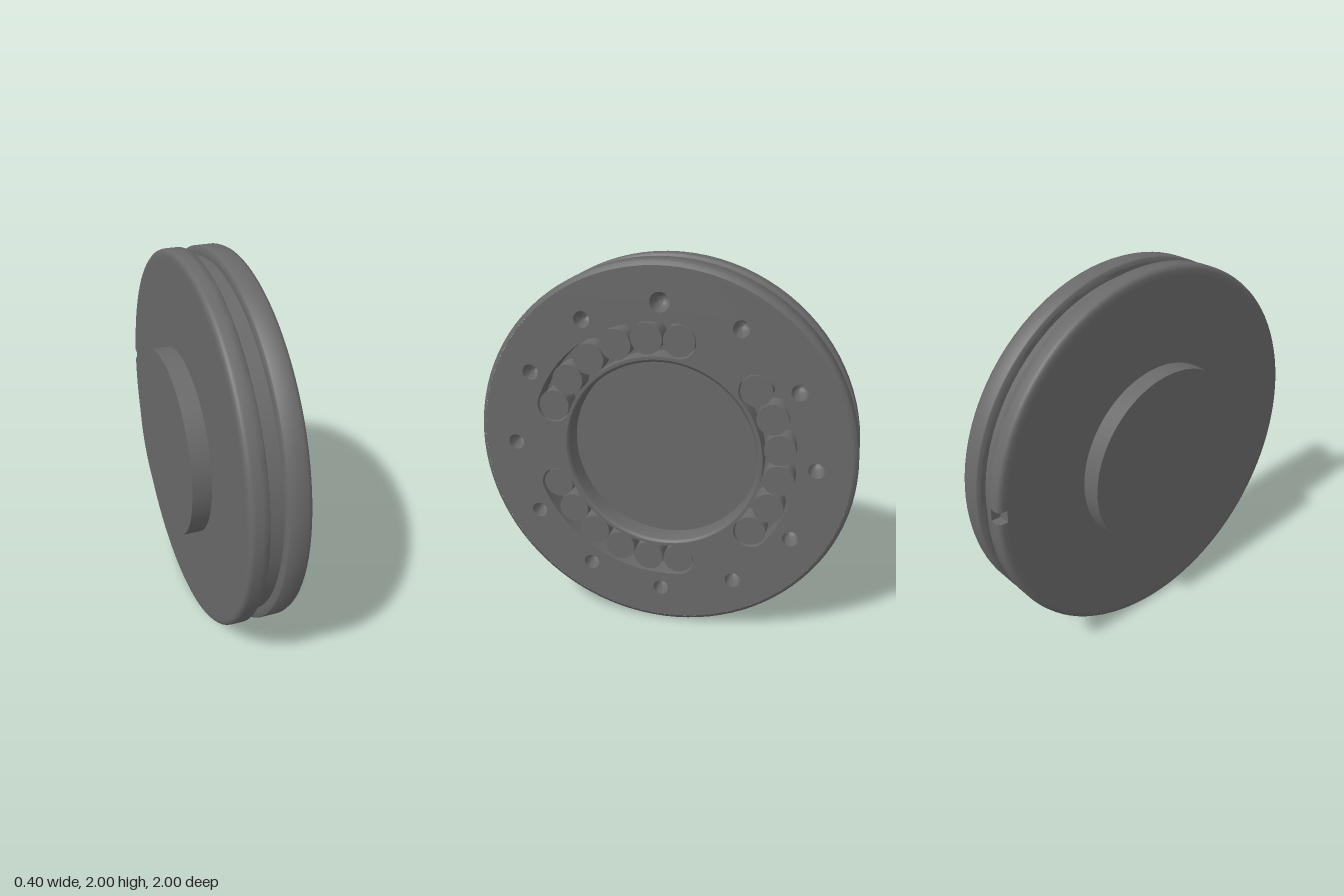
import * as THREE from 'three';
import { toCreasedNormals } from 'three/addons/utils/BufferGeometryUtils.js';

const SEG = 96;
const STEP = Math.PI * 2 / SEG;
const FLOOR = 0.08;   // axial position of the pocket floors
const FACE = 0.2;     // axial position of the drilled face

export function createModel() {
  const root = new THREE.Group();
  const flange = new THREE.Group();
  flange.name = 'flange';
  flange.position.y = 1;
  root.add(flange);

  const color = 0x696969;
  const material = new THREE.MeshStandardMaterial({ color });
  const openMaterial = new THREE.MeshStandardMaterial({ color, side: THREE.DoubleSide });
  const add = (name, geometry, mat = material) => {
    const mesh = new THREE.Mesh(geometry, mat);
    mesh.name = name;
    flange.add(mesh);
    return mesh;
  };
  const vectors = (list) => list.map(([r, a]) => new THREE.Vector2(r, a));
  // Turned part about the x axis; profile points are [radius, x]
  const turned = (profile, segments = SEG, start = 0, length = Math.PI * 2) => toCreasedNormals(
    new THREE.LatheGeometry(vectors(profile), segments, start, length).rotateZ(-Math.PI / 2), 0.85);

  // Boss, back face, groove and front rim
  const notchMid = Math.PI + 0.055;
  const rimStart = notchMid + STEP / 2;
  add('body', turned([
    [0, -0.2], [0.5, -0.2], [0.5, -0.1], [0.95, -0.1], [0.95, -0.04], [1, -0.04],
    [1, -0.01], [0.995, -0.005], [0.95, -0.005], [0.95, FLOOR],
    [0.995, FLOOR], [1, 0.085], [1, 0.175], [0.993, 0.192], [0.975, FACE],
  ], SEG, rimStart));

  // Rounded back edge, interrupted by a small notch
  const rim = [
    [0.95, -0.1], [0.975, -0.1], [0.988, -0.096], [0.997, -0.087], [1, -0.075],
    [1, -0.04], [0.95, -0.04],
  ];
  add('backRim', turned(rim, SEG - 1, rimStart, Math.PI * 2 - STEP));
  for (const side of [-1, 1]) {
    const cap = new THREE.ShapeGeometry(new THREE.Shape(vectors(rim)));
    cap.rotateY(notchMid - Math.PI / 2 + side * STEP / 2).rotateZ(-Math.PI / 2);
    add('notchWall', cap, openMaterial);
  }

  // Drilled face plate
  const plate = new THREE.Shape().absarc(0, 0, 0.975, 0, Math.PI * 2, false);
  const hole = (x, y, r) => plate.holes.push(new THREE.Path().absarc(x, y, r, 0, Math.PI * 2, true));
  hole(0, 0, 0.515);

  // Bolt holes with dished bottoms
  for (let i = 0; i < 12; i++) {
    const a = i * Math.PI / 6, r = i === 3 ? 0.05 : 0.042;
    const x = 0.8 * Math.cos(a), y = 0.8 * Math.sin(a);
    hole(x, y, r);
    const cup = [[r, FACE], [r * 0.93, 0.15], [r * 0.75, 0.12], [r * 0.45, 0.1], [0, 0.09]];
    add('boltHole', turned(cup, 24)).position.set(0, y, -x);
  }

  // Three curved slots
  const ring = 0.618, half = 0.088, pitch = THREE.MathUtils.degToRad(15.5), reach = 2.5 * pitch;
  const discDepth = 0.108;
  for (let k = 0; k < 3; k++) {
    const mid = k * Math.PI * 2 / 3, a0 = mid - reach, a1 = mid + reach;
    const slot = new THREE.Path();
    slot.absarc(0, 0, ring + half, a0, a1, false);
    slot.absarc(ring * Math.cos(a1), ring * Math.sin(a1), half, a1, a1 + Math.PI, false);
    slot.absarc(0, 0, ring - half, a1, a0, true);
    slot.absarc(ring * Math.cos(a0), ring * Math.sin(a0), half, a0 + Math.PI, a0 + Math.PI * 2, false);
    plate.holes.push(slot);

    // Six round pieces in each slot, set just below the face
    for (let i = 0; i < 6; i++) {
      const a = a0 + i * pitch;
      const disc = new THREE.CylinderGeometry(0.081, 0.081, discDepth, 32).rotateZ(-Math.PI / 2);
      add('slotDisc', disc).position.set(FLOOR + discDepth / 2, ring * Math.sin(a), -ring * Math.cos(a));
    }
  }
  const plateGeometry = new THREE.ExtrudeGeometry(plate, {
    depth: FACE - FLOOR, bevelEnabled: false, curveSegments: 36,
  });
  plateGeometry.translate(0, 0, FLOOR).rotateY(Math.PI / 2);
  add('facePlate', toCreasedNormals(plateGeometry, 0.6));

  // Central recess wall with eased edge, and the shared pocket floor
  add('recessWall', turned([[0.515, FACE], [0.505, 0.195], [0.5, 0.185], [0.5, FLOOR]]));
  add('pocketFloor', new THREE.CircleGeometry(0.95, SEG).rotateY(Math.PI / 2).translate(FLOOR, 0, 0));

  return root;
}
